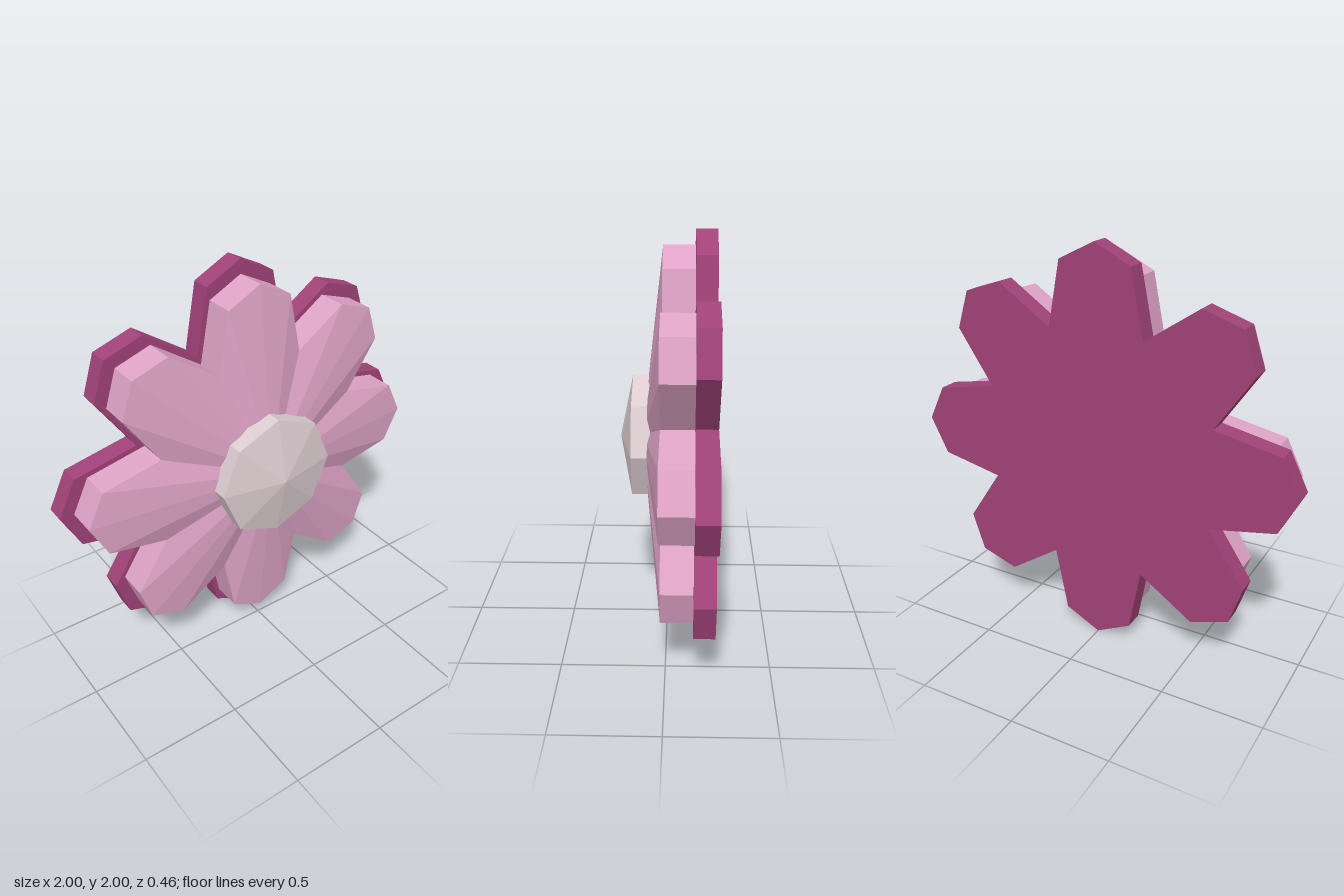
import * as THREE from 'three';

const PETALS = 8;
// radius at petal tip, shoulder, notch, shoulder (repeats round the flower)
const OUTLINE = [1, 0.927, 0.637, 0.927];

// Solid of revolution along z, from zBack to zFront, flat shaded
function disc(rFront, rBack, zBack, zFront, sides, open, petalled) {
  let g = new THREE.CylinderGeometry(rFront, rBack, zFront - zBack, sides, 1, open);
  g.rotateX(Math.PI / 2);
  g.translate(0, 0, (zFront + zBack) / 2);
  if (petalled) {
    // pull each spoke in to the petal outline
    const p = g.attributes.position;
    for (let i = 0; i < p.count; i++) {
      const x = p.getX(i), y = p.getY(i);
      if (Math.hypot(x, y) < 1e-6) continue;
      const step = Math.round(Math.atan2(y, x) / (Math.PI * 2) * sides);
      const k = OUTLINE[((step % 4) + 4) % 4];
      p.setXY(i, x * k, y * k);
    }
  }
  g = g.toNonIndexed();
  g.computeVertexNormals();
  return g;
}

export function createModel() {
  const material = (name, color) => {
    const m = new THREE.MeshStandardMaterial({ color, flatShading: true });
    m.name = name;
    return m;
  };
  const plum = material('plum', 0xa04278);
  const pink = material('pink', 0xdea3c6);
  const pale = material('pale grey pink', 0xddcdd1);

  const flower = new THREE.Group();
  flower.name = 'flower';
  const add = (name, geometry, mat) => {
    const mesh = new THREE.Mesh(geometry, mat);
    mesh.name = name;
    mesh.position.y = 1;
    flower.add(mesh);
  };

  const spokes = PETALS * OUTLINE.length;
  // dark backing petals
  add('backPetals', disc(1, 1, -0.23, -0.13, spokes, false, true), plum);
  // light petals: straight rim, then facets rising to the centre
  add('petalRim', disc(0.93, 0.93, -0.13, 0.02, spokes, true, true), pink);
  add('petalFace', disc(0, 0.93, 0.02, 0.125, spokes, true, true), pink);
  // octagonal centre with a shallow point
  add('centreRim', disc(0.313, 0.313, 0.05, 0.165, 8, true, false), pale);
  add('centrePoint', disc(0, 0.313, 0.165, 0.23, 8, true, false), pale);

  return flower;
}
